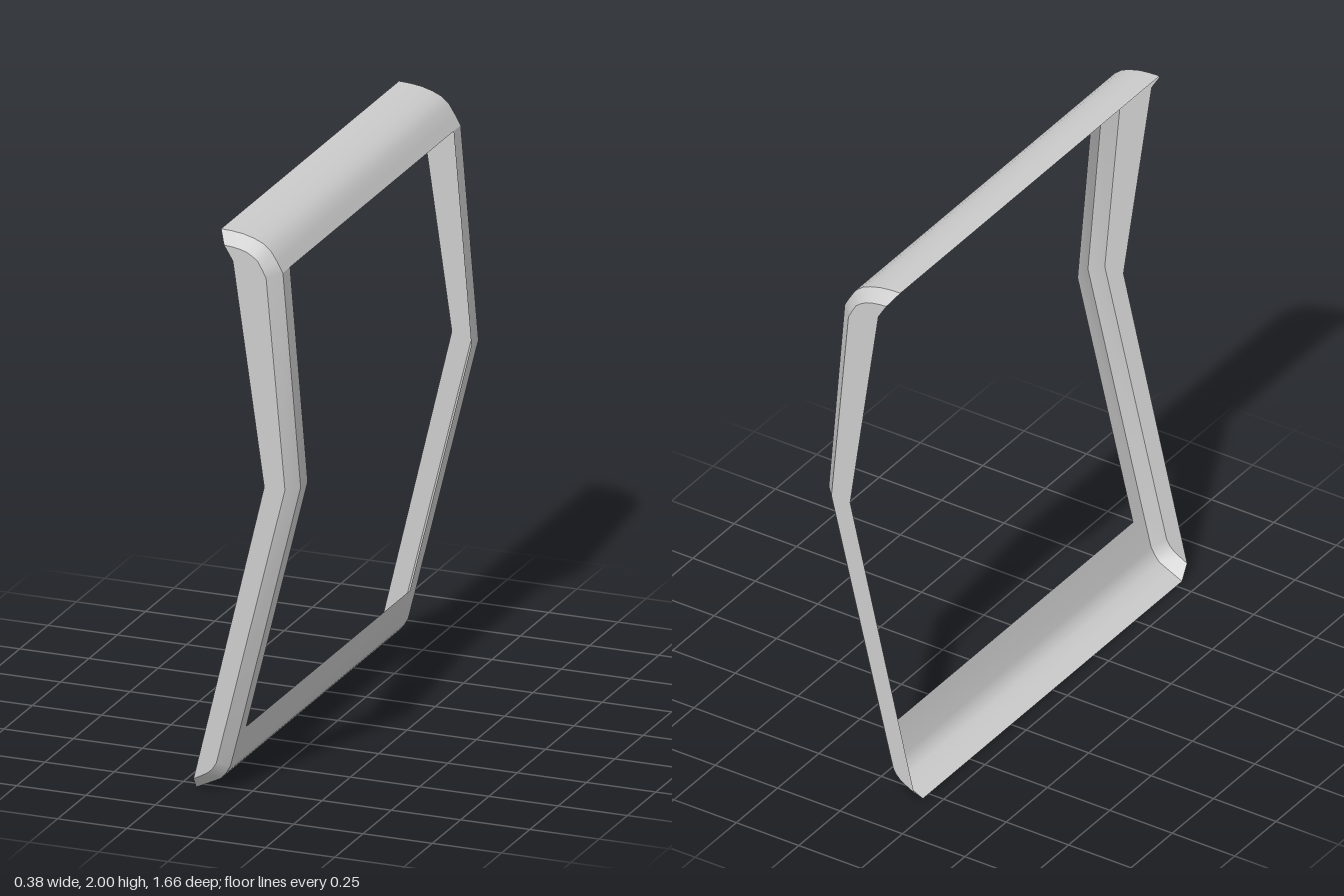
import * as THREE from 'three';

// Side profile [x, y] from the top lip down to the bottom lip
const outer = [
  [-0.1, 2], [-0.06, 1.998], [-0.02, 1.993], [0.02, 1.982], [0.052, 1.968], [0.08, 1.945], [0.102, 1.91],
  [0.123, 1.873], [0.187, 1.12], [-0.035, 0.22],
  [-0.066, 0.097], [-0.081, 0.07], [-0.1, 0.048], [-0.145, 0.026], [-0.19, 0.005],
];
// The same profile pulled in by the bevel
const inner = [
  [-0.072, 1.96], [-0.045, 1.958], [-0.015, 1.953], [0.008, 1.946], [0.03, 1.934], [0.05, 1.918], [0.066, 1.89],
  [0.08, 1.862], [0.148, 1.12], [-0.074, 0.22],
  [-0.1, 0.116], [-0.113, 0.095], [-0.128, 0.08], [-0.155, 0.064], [-0.182, 0.05],
];
// Rear edge of the side flange, bottom to top
const rear = [[0.073, 1.12], [-0.04, 1.908]];

const zFace = 0.785, zSide = 0.828, zWindow = 0.722;
const windowTop = 7, windowBottom = 9; // profile rows where the opening starts and ends

const material = new THREE.MeshStandardMaterial({ color: 0xcccccc, side: THREE.DoubleSide });

// Smooth strip between profile a at depth za and profile b at depth zb
function ribbon(name, a, za, b, zb) {
  const positions = [], index = [];
  a.forEach((p, i) => {
    positions.push(p[0], p[1], za, b[i][0], b[i][1], zb);
    if (i) {
      const k = 2 * i;
      index.push(k - 2, k, k - 1, k - 1, k, k + 1);
    }
  });
  const geometry = new THREE.BufferGeometry();
  geometry.setAttribute('position', new THREE.Float32BufferAttribute(positions, 3));
  geometry.setIndex(index);
  geometry.computeVertexNormals();
  const mesh = new THREE.Mesh(geometry, material);
  mesh.name = name;
  return mesh;
}

export function createModel() {
  const group = new THREE.Group();
  group.name = 'bentFrame';

  // Curved bands above and below the opening
  const top = outer.slice(0, windowTop + 1);
  const middle = outer.slice(windowTop, windowBottom + 1);
  const bottom = outer.slice(windowBottom);
  group.add(ribbon('topBand', top, zFace, top, -zFace));
  group.add(ribbon('bottomBand', bottom, zFace, bottom, -zFace));

  // Posts beside the opening
  group.add(ribbon('frontPost', middle, zFace, middle, zWindow));
  group.add(ribbon('backPost', middle, -zWindow, middle, -zFace));

  // Bevels round both ends
  group.add(ribbon('frontBevel', inner, zSide, outer, zFace));
  group.add(ribbon('backBevel', outer, -zFace, inner, -zSide));

  // Flat side flanges
  const outline = [...inner, ...rear].map(([x, y]) => new THREE.Vector2(x, y));
  const flange = new THREE.ShapeGeometry(new THREE.Shape(outline));
  for (const side of [1, -1]) {
    const mesh = new THREE.Mesh(flange, material);
    mesh.name = side > 0 ? 'frontFlange' : 'backFlange';
    mesh.position.z = side * zSide;
    mesh.scale.z = side;
    group.add(mesh);
  }
  return group;
}
